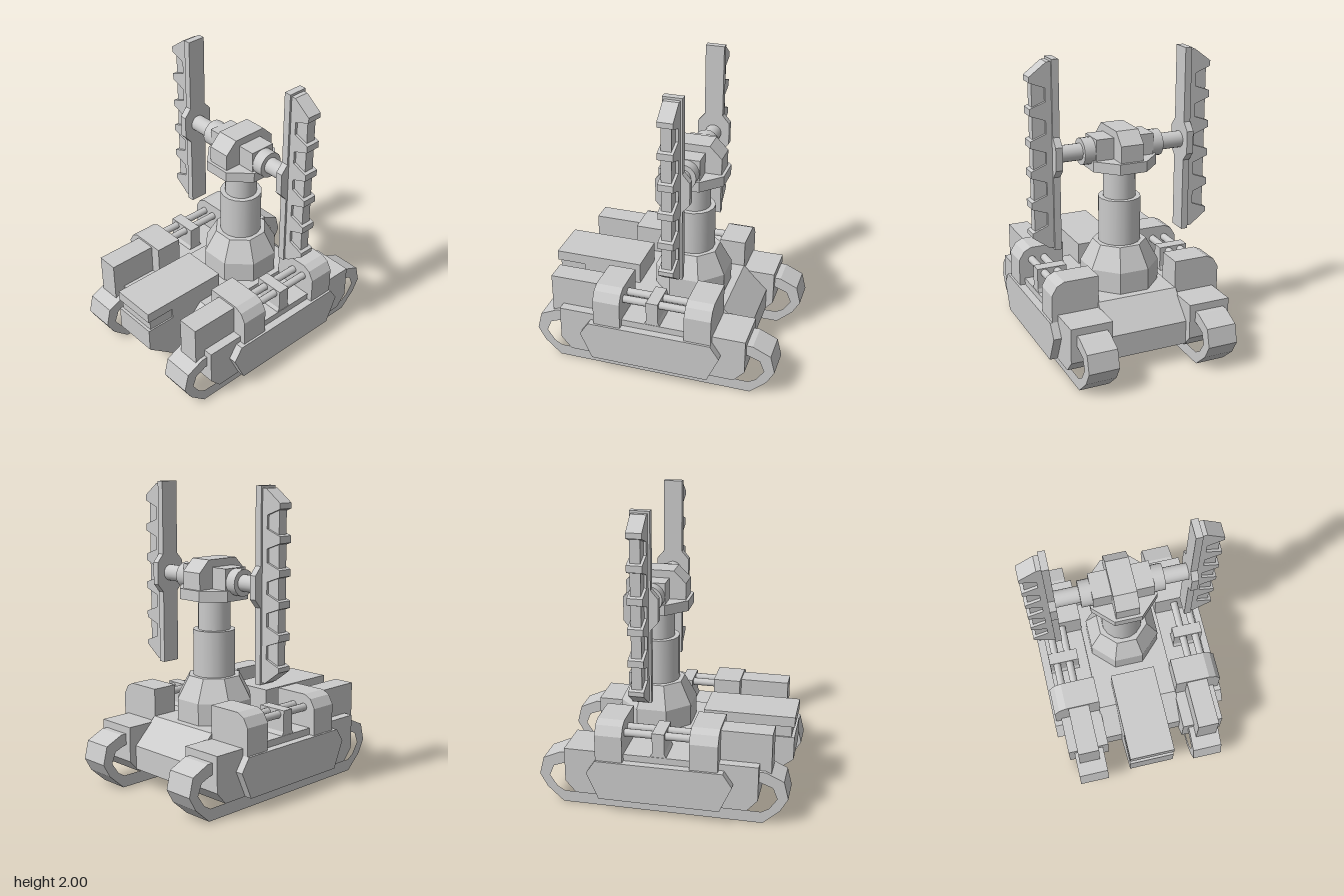
import * as THREE from 'three';

const TURRET_Z = -0.13;

export function createModel() {
  const model = new THREE.Group();
  const mat = new THREE.MeshStandardMaterial({ color: 0xcccccc });
  const flat = new THREE.MeshStandardMaterial({ color: 0xcccccc, flatShading: true });

  const add = (name, geo, m = mat) => {
    const mesh = new THREE.Mesh(geo, m);
    mesh.name = name;
    model.add(mesh);
    return mesh;
  };
  const shapeOf = (pts) => new THREE.Shape(pts.map(([a, b]) => new THREE.Vector2(a, b)));
  const extrude = (shape, depth) => new THREE.ExtrudeGeometry(shape, { depth, bevelEnabled: false });

  // Box given by its limits on each axis
  const box = (name, x0, x1, y0, y1, z0, z1) => {
    const g = new THREE.BoxGeometry(x1 - x0, y1 - y0, z1 - z0);
    g.translate((x0 + x1) / 2, (y0 + y1) / 2, (z0 + z1) / 2);
    return add(name, g);
  };
  // Side profile of (z, y) points, extruded across x
  const across = (name, pts, xMid, width, hole) => {
    const shape = shapeOf(pts);
    if (hole) shape.holes.push(shapeOf(hole));
    const g = extrude(shape, width);
    g.rotateY(-Math.PI / 2);
    g.translate(xMid + width / 2, 0, 0);
    return add(name, g);
  };
  // Front profile of (x, y) points, extruded along z
  const along = (name, pts, z0, z1) => {
    const g = extrude(shapeOf(pts), z1 - z0);
    g.translate(0, 0, z0);
    return add(name, g);
  };
  // Upright column on the turret axis; r is measured to the flats
  const column = (name, rTop, rBot, y0, y1, sides) => {
    const k = 1 / Math.cos(Math.PI / sides);
    const g = new THREE.CylinderGeometry(rTop * k, rBot * k, y1 - y0, sides);
    g.rotateY(Math.PI / sides);
    g.translate(0, (y0 + y1) / 2, TURRET_Z);
    return add(name, g, sides <= 8 ? flat : mat);
  };
  // Front-to-back symmetric outline from its +z half (listed top to bottom)
  const sym = (half, c = 0) => [
    ...half.map(([z, y]) => [c + z, y]),
    ...half.slice().reverse().map(([z, y]) => [c - z, y]),
  ];

  // Hull with sloping ends
  across('hull', [[0.38, 0.45], [0.56, 0.28], [0.56, 0.12], [-0.59, 0.12], [-0.59, 0.28], [-0.42, 0.45]], 0, 0.56);

  // Cab: lower body, recessed window band and roof
  across('cabBody', [[0.21, 0.45], [0.82, 0.45], [0.82, 0.29], [0.55, 0.07], [0.3, 0.07], [0.21, 0.2]], 0, 0.31);
  box('cabWindow', -0.145, 0.145, 0.45, 0.53, 0.5, 0.8);
  box('cabRear', -0.155, 0.155, 0.45, 0.53, 0.21, 0.62);
  box('cabRoof', -0.155, 0.155, 0.525, 0.595, 0.21, 0.82);

  // Turret pedestal and mast
  column('pedestal', 0.24, 0.24, 0.4, 0.595, 8);
  column('pedestalTaper', 0.165, 0.24, 0.595, 0.745, 8);
  column('lowerMast', 0.138, 0.138, 0.74, 1.05, 16);
  column('upperMast', 0.106, 0.106, 1.05, 1.26, 20);
  column('headPlate', 0.22, 0.22, 1.26, 1.33, 8);

  // Turret head
  across('headCore', sym([[0.12, 1.52], [0.2, 1.44], [0.2, 1.33]], TURRET_Z), 0, 0.155);
  box('headBlock', -0.2, 0.2, 1.33, 1.47, TURRET_Z - 0.09, TURRET_Z + 0.09);

  // Track loop outlines
  const trackOuter = sym([[0.68, 0.365], [0.8, 0.31], [0.83, 0.19], [0.78, 0.1], [0.67, 0]]);
  const trackInner = sym([[0.65, 0.29], [0.73, 0.26], [0.76, 0.185], [0.71, 0.11], [0.66, 0.08]]);

  for (const s of [1, -1]) {
    const side = s > 0 ? 'left' : 'right';
    const mBox = (name, x0, x1, ...rest) =>
      box(side + name, Math.min(s * x0, s * x1), Math.max(s * x0, s * x1), ...rest);
    const mAlong = (name, pts, z0, z1) => along(side + name, pts.map(([x, y]) => [s * x, y]), z0, z1);

    // Running gear
    across(side + 'Track', trackOuter, s * 0.415, 0.205, trackInner);
    across(side + 'TrackFrame', sym([[0.64, 0.415], [0.64, 0.18], [0.57, 0.1]]), s * 0.415, 0.285);
    across(side + 'SidePlate', sym([[0.42, 0.37], [0.48, 0.28], [0.4, 0.1]]), s * 0.58, 0.06);

    // Fender housings, front and rear
    const fender = [[0.275, 0.36], [0.275, 0.635], [0.51, 0.635], [0.56, 0.61], [0.595, 0.55], [0.595, 0.36]];
    mAlong('FrontFender', fender, 0.2, 0.385);
    mAlong('RearFender', fender, -0.42, -0.24);
    mBox('FrontBox', 0.35, 0.495, 0.345, 0.62, 0.38, 0.715);

    // Rods between the fenders, with their clamp
    for (const x of [0.415, 0.505]) {
      const g = new THREE.CylinderGeometry(0.026, 0.026, 0.46, 12);
      g.rotateX(Math.PI / 2);
      g.translate(s * x, 0.548, -0.02);
      add(side + 'Rod', g);
    }
    across(side + 'RodClamp', [[0.03, 0.58], [0.03, 0.44], [0.045, 0.41], [-0.065, 0.41], [-0.05, 0.44], [-0.05, 0.58]], s * 0.452, 0.205);

    // Arm with collar
    for (const [name, r, x0, x1] of [['ArmCollar', 0.088, 0.19, 0.275], ['Arm', 0.055, 0.27, 0.445]]) {
      const g = new THREE.CylinderGeometry(r, r, x1 - x0, 20);
      g.rotateZ(Math.PI / 2);
      g.translate(s * (x0 + x1) / 2, 1.38, TURRET_Z);
      add(side + name, g);
    }

    // Antenna panel: back plate flaring out at the hub
    across(side + 'PanelPlate', sym([
      [0.063, 2], [0.063, 1.51], [0.11, 1.455], [0.11, 1.305], [0.063, 1.25], [0.063, 0.76],
    ], TURRET_Z), s * 0.458, 0.046);

    // Central rib and the wider toothed body around it
    mAlong('PanelRib', [[0.48, 1.98], [0.51, 1.98], [0.603, 1.89], [0.603, 0.87], [0.51, 0.78], [0.48, 0.78]],
      TURRET_Z - 0.033, TURRET_Z + 0.033);
    const teeth = [[0.48, 1.985], [0.51, 1.985], [0.624, 1.9], [0.624, 1.865], [0.52, 1.825]];
    for (const y of [1.68, 1.475, 1.28, 1.075]) {
      teeth.push([0.52, y + 0.06], [0.624, y + 0.022], [0.624, y - 0.022], [0.52, y - 0.06]);
    }
    teeth.push([0.52, 0.93], [0.624, 0.89], [0.624, 0.86], [0.51, 0.775], [0.48, 0.775]);
    mAlong('PanelTeeth', teeth, TURRET_Z - 0.05, TURRET_Z + 0.05);
  }
  return model;
}
